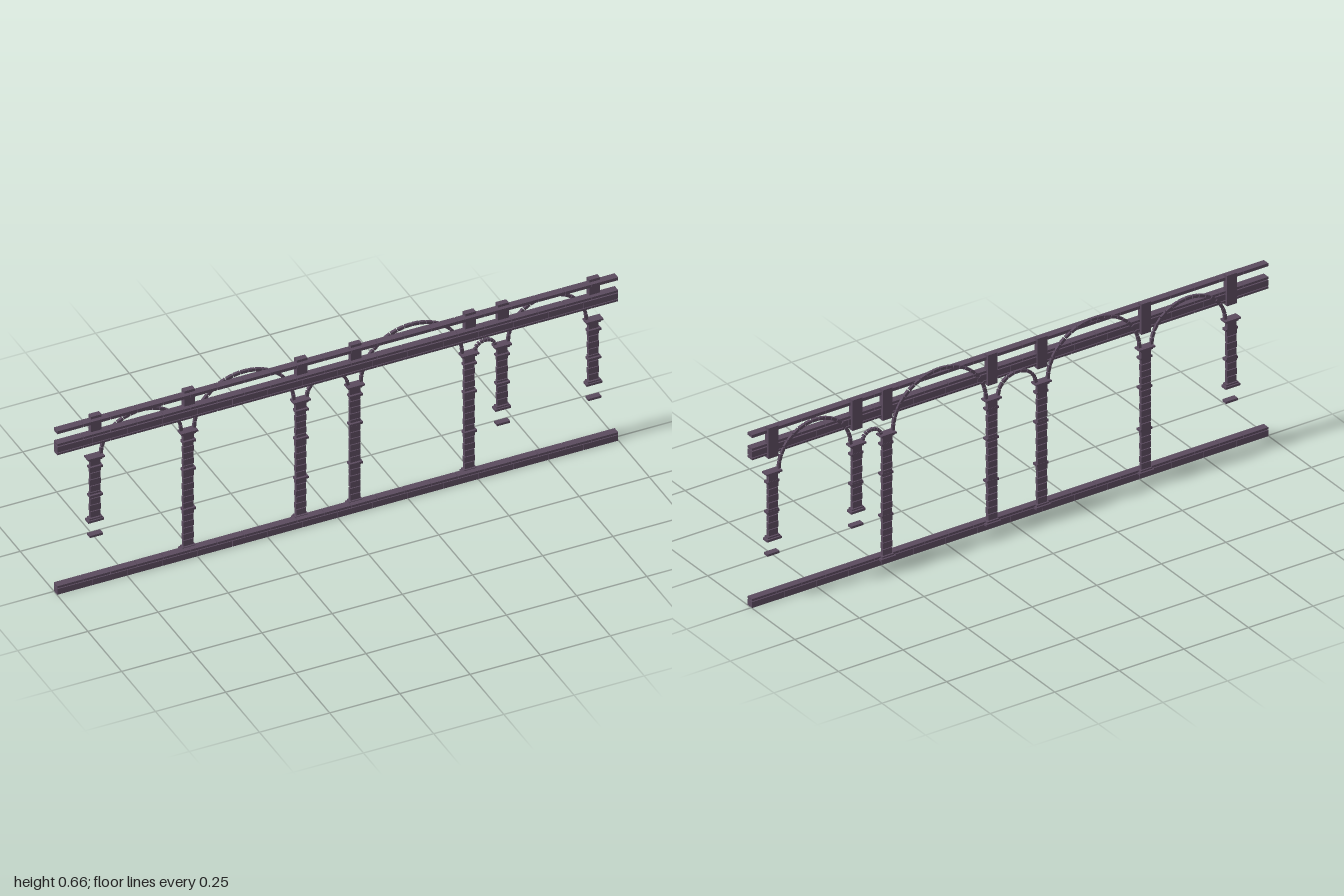
import * as THREE from 'three';

const stone = new THREE.MeshStandardMaterial({ color: 0x5a4a5e });
stone.name = 'dusky purple stone';

// Box given by its centre x, width, y range and z range
function block(parent, name, x, w, y0, y1, z0, z1) {
  const m = new THREE.Mesh(new THREE.BoxGeometry(w, y1 - y0, z1 - z0), stone);
  m.position.set(x, (y0 + y1) / 2, (z0 + z1) / 2);
  m.name = name;
  parent.add(m);
  return m;
}

// Course of stones laid end to end with fine joints
function course(parent, name, y0, y1, count) {
  const g = new THREE.Group();
  g.name = name;
  const step = 2 / count;
  for (let i = 0; i < count; i++) {
    block(g, 'courseStone', -1 + step * (i + 0.5), step - 0.002, y0, y1, -0.004, 0.022);
  }
  parent.add(g);
}

// Stacked column with foot, bands and capital
function column(parent, x, tall) {
  const g = new THREE.Group();
  g.name = tall ? 'tallColumn' : 'shortColumn';
  const foot = tall ? 0.02 : 0.232;
  block(g, 'footSlab', x, 0.056, foot, foot + 0.008, -0.018, 0.003 + (tall ? 0 : 0.004));
  block(g, 'footMoulding', x, 0.046, foot + 0.01, foot + 0.015, -0.015, 0.005);
  const start = foot + 0.017, end = 0.473;
  const n = Math.round((end - start) / 0.0242), step = (end - start) / n;
  for (let i = 0; i < n; i++) {
    const w = 0.035 + 0.003 * (i % 2);
    block(g, 'shaftStone', x, w, start + i * step, start + (i + 1) * step - 0.003, -0.012, 0.001);
  }
  for (const y of [0.18, 0.335, 0.445]) {
    block(g, 'band', x, 0.046, y - 0.004, y + 0.004, -0.0125, 0.009);
  }
  block(g, 'capitalMoulding', x, 0.046, 0.472, 0.477, -0.016, 0.007);
  block(g, 'capitalSlab', x, 0.06, 0.478, 0.484, -0.02, 0.01);
  block(g, 'upperPilaster', x, 0.038, 0.535, 0.647, -0.012, 0.008);
  parent.add(g);
}

// Thin arch made of separate voussoirs along a half ellipse
function arch(parent, xa, xb, top) {
  const g = new THREE.Group();
  g.name = 'arch';
  const base = 0.486, a = (xb - xa) / 2 - 0.023, b = top - base - 0.005, cx = (xa + xb) / 2;
  const n = Math.max(9, Math.round((a + b) * 1.6 / 0.026));
  const at = t => new THREE.Vector2(cx - a * Math.cos(t), base + b * Math.sin(t));
  for (let i = 0; i < n; i++) {
    const p = at(Math.PI * i / n), q = at(Math.PI * (i + 1) / n);
    const m = block(g, 'archStone', 0, p.distanceTo(q) - 0.003, -0.005, 0.005, -0.012, -0.002);
    m.position.x = (p.x + q.x) / 2;
    m.position.y = (p.y + q.y) / 2;
    m.rotation.z = Math.atan2(q.y - p.y, q.x - p.x);
  }
  parent.add(g);
}

export function createModel() {
  const model = new THREE.Group();
  model.name = 'arcade';

  // Base, main beam and top rail
  course(model, 'baseBeam', 0, 0.022, 16);
  course(model, 'baseLedge', 0.025, 0.033, 21);
  course(model, 'beamLowerLedge', 0.545, 0.552, 21);
  course(model, 'mainBeam', 0.555, 0.576, 16);
  course(model, 'beamUpperLedge', 0.58, 0.588, 21);
  course(model, 'topRail', 0.627, 0.638, 21);

  // Columns, from right to left of the model
  const xs = [-0.853, -0.521, -0.12, 0.073, 0.48, 0.597, 0.922];
  const tall = [false, true, true, true, true, false, false];
  xs.forEach((x, i) => column(model, x, tall[i]));

  // Arches spanning neighbouring columns
  const tops = [0.617, 0.656, 0.556, 0.66, 0.52, 0.626];
  tops.forEach((top, i) => arch(model, xs[i], xs[i + 1], top));

  return model;
}
